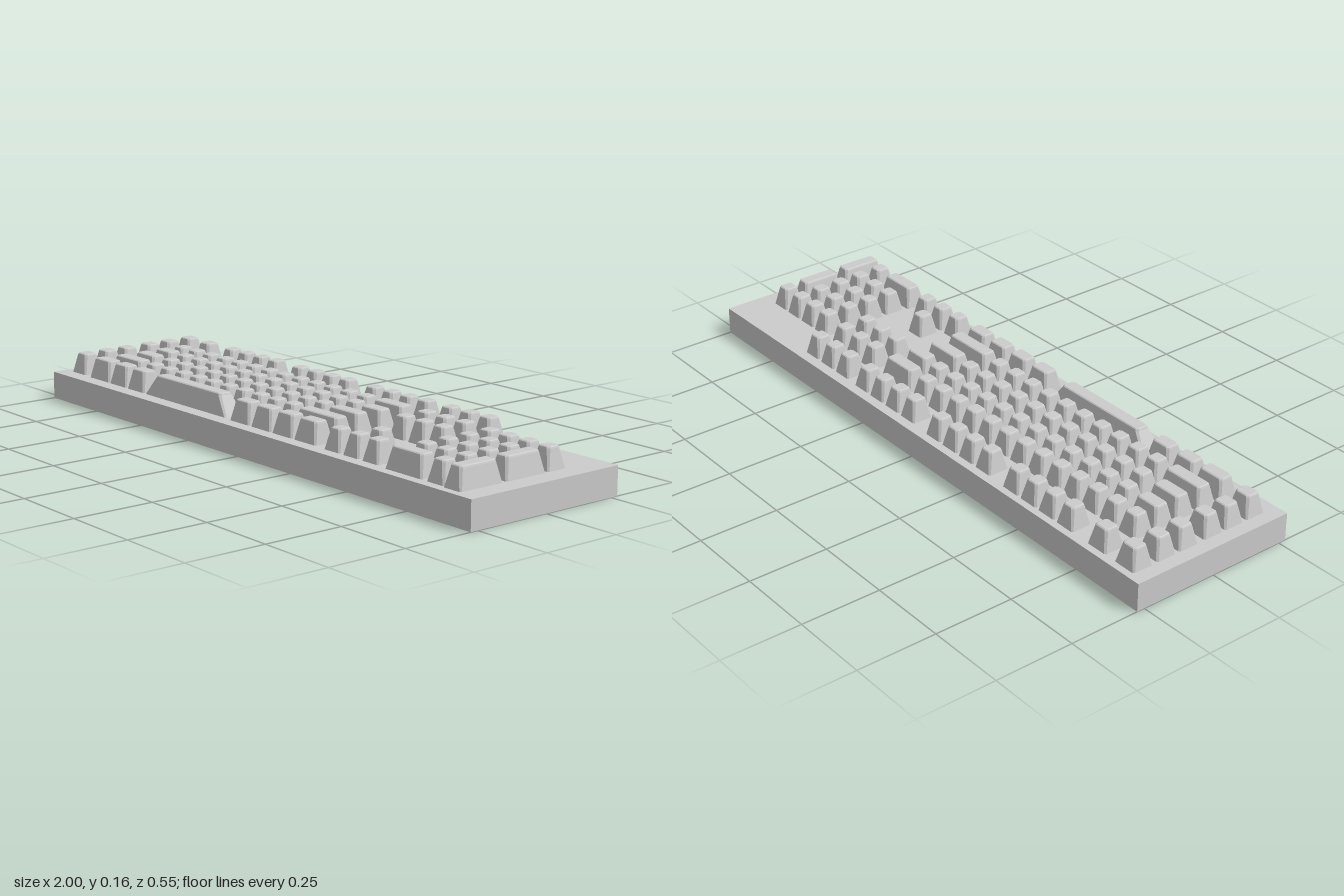
import * as THREE from 'three';

const DECK = 0.088, UNIT = 0.069, PITCH = 0.0782;

// Outline of a rectangle with cut corners, as [x, z] points
function outline(w, d, c) {
  const a = w / 2, b = d / 2;
  return [[a, b - c], [a - c, b], [c - a, b], [-a, b - c], [-a, c - b], [c - a, -b], [a - c, -b], [a, c - b]];
}

// Tapered keycap: stacked outlines with a bevelled rim and closed ends
function keycapGeometry(w, d, endTaper) {
  // height, inset in x, inset in z, corner cut
  const levels = [
    [0.0015, 0, 0, 0.005],
    [0.060, endTaper, 0.011, 0.007],
    [0.0645, endTaper + 0.0015, 0.0125, 0.007],
    [0.067, endTaper + 0.005, 0.016, 0.005],
  ];
  const pos = [], index = [], n = 8;
  for (const [y, ix, iz, cut] of levels) {
    for (const [x, z] of outline(w - 2 * ix, d - 2 * iz, cut)) pos.push(x, y, z);
  }
  for (let l = 0; l < levels.length - 1; l++) {
    for (let i = 0; i < n; i++) {
      const a = l * n + i, b = l * n + (i + 1) % n;
      index.push(a, a + n, b, b, a + n, b + n);
    }
  }
  const top = (levels.length - 1) * n;
  for (let i = 1; i < n - 1; i++) {
    index.push(top, top + i + 1, top + i);
    index.push(0, i, i + 1);
  }
  const g = new THREE.BufferGeometry();
  g.setAttribute('position', new THREE.Float32BufferAttribute(pos, 3));
  g.setIndex(index);
  const flat = g.toNonIndexed();
  flat.computeVertexNormals();
  return flat;
}

export function createModel() {
  const model = new THREE.Group();
  const material = new THREE.MeshStandardMaterial({ color: 0xcccccc, flatShading: true });

  const base = new THREE.Mesh(new THREE.BoxGeometry(2, DECK, 0.55), material);
  base.name = 'base';
  base.position.y = DECK / 2;
  model.add(base);

  const cache = {};
  function key(parent, name, x, z, w = UNIT, d = UNIT, endTaper = 0.012) {
    const id = [w, d, endTaper].join();
    cache[id] ??= keycapGeometry(w, d, endTaper);
    const mesh = new THREE.Mesh(cache[id], material);
    mesh.name = name;
    mesh.position.set(x, DECK, z);
    parent.add(mesh);
  }
  function row(parent, name, x, z, count, pitch = PITCH) {
    for (let i = 0; i < count; i++) key(parent, name, x + i * pitch, z);
  }
  function section(name) {
    const g = new THREE.Group();
    g.name = name;
    model.add(g);
    return g;
  }

  // Macro keys down the left edge
  const macro = section('macroColumn');
  for (const z of [-0.22, -0.136, -0.056, 0.036, 0.113, 0.194]) key(macro, 'macroKey', -0.92, z, 0.077);

  // Top row in blocks of four
  const topRow = section('topRow');
  key(topRow, 'escapeKey', -0.808, -0.22, 0.075);
  row(topRow, 'topRowKey', -0.674, -0.22, 4);
  row(topRow, 'topRowKey', -0.309, -0.216, 4);
  row(topRow, 'topRowKey', 0.059, -0.211, 4);

  // Main typing block: staggered rows with wide end keys
  const main = section('mainBlock');
  row(main, 'numberKey', -0.807, -0.113, 13);
  key(main, 'backspaceKey', 0.254, -0.111, 0.145);
  key(main, 'tabKey', -0.79, -0.039, 0.105);
  row(main, 'letterKey', -0.69, -0.039, 12);
  key(main, 'backslashKey', 0.27, -0.031, 0.107);
  key(main, 'capsLockKey', -0.78, 0.039, 0.122);
  row(main, 'letterKey', -0.663, 0.039, 11);
  key(main, 'enterKey', 0.241, 0.049, 0.15);
  key(main, 'leftShiftKey', -0.763, 0.119, 0.16);
  row(main, 'letterKey', -0.636, 0.119, 10, 0.079);
  key(main, 'rightShiftKey', 0.222, 0.129, 0.195);

  // Bottom row
  for (const [x, w] of [[-0.794, 0.112], [-0.688, 0.092], [-0.588, 0.092]]) key(main, 'modifierKey', x, 0.197, w);
  key(main, 'spaceBar', -0.323, 0.197, 0.422, UNIT, 0.042);
  for (const [x, w] of [[-0.037, 0.095], [0.065, 0.094], [0.166, 0.094], [0.27, 0.1]]) key(main, 'modifierKey', x, 0.203, w);

  // Navigation and arrow clusters
  const nav = section('navigationKeys');
  for (const z of [-0.209, -0.113, -0.031]) row(nav, 'navigationKey', 0.401, z, 3, 0.08);
  key(nav, 'arrowKey', 0.478, 0.127);
  row(nav, 'arrowKey', 0.396, 0.207, 3, 0.082);

  // Number pad with two tall keys and a wide zero
  const pad = section('numberPad');
  row(pad, 'padKey', 0.674, -0.102, 4, 0.0765);
  for (const z of [-0.023, 0.055, 0.134]) row(pad, 'padKey', 0.674, z, 3, 0.079);
  key(pad, 'padPlusKey', 0.904, 0.015, UNIT, 0.148);
  key(pad, 'padEnterKey', 0.904, 0.178, UNIT, 0.154);
  key(pad, 'padZeroKey', 0.705, 0.214, 0.15);
  key(pad, 'padDotKey', 0.832, 0.214);

  return model;
}
